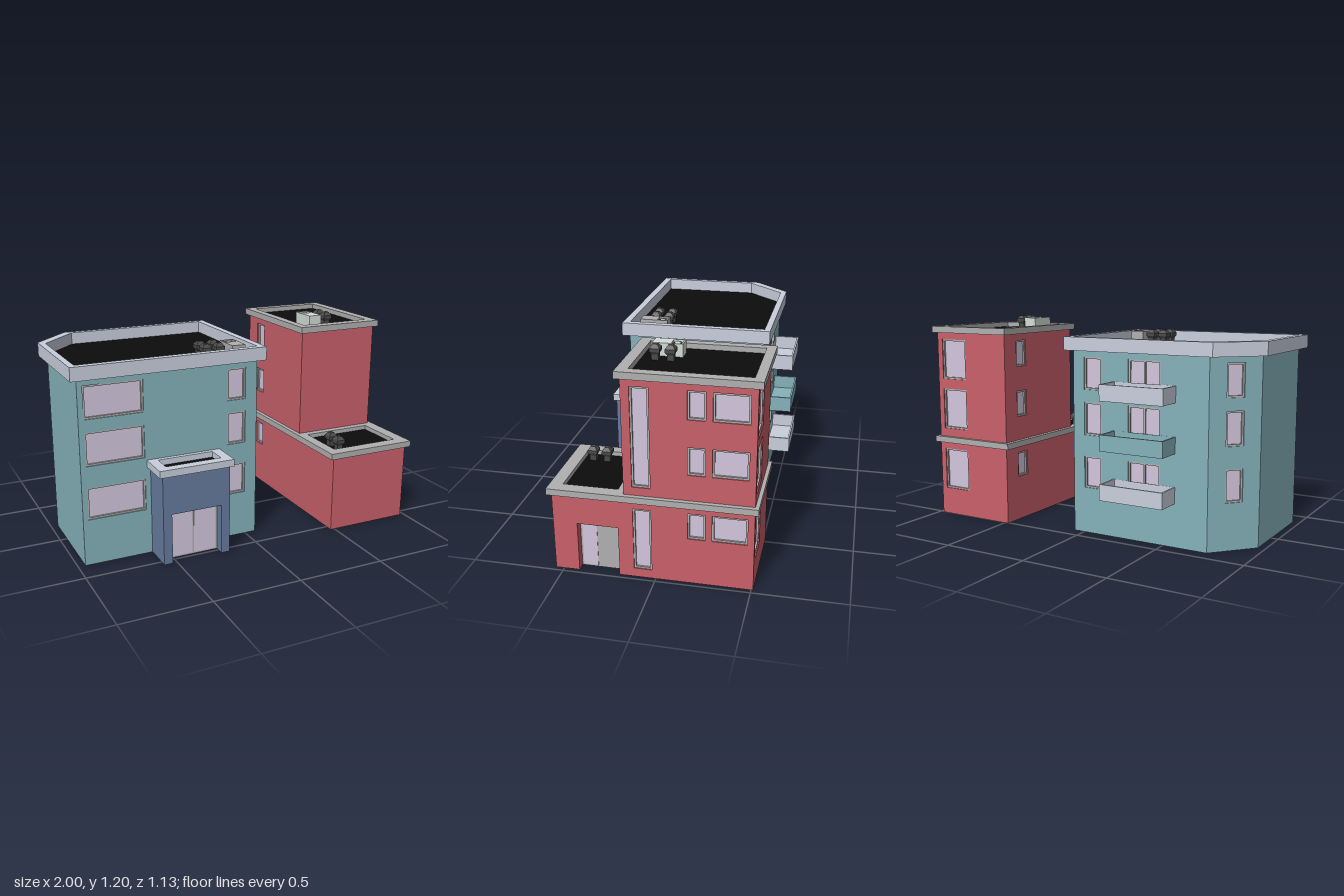
import * as THREE from 'three';

const mat = (color, side = THREE.FrontSide) =>
  new THREE.MeshStandardMaterial({ color, flatShading: true, side });
const TEAL = mat(0x85b2bb), RED = mat(0xc9606a), BLUE = mat(0x667c9e), TRIM = mat(0xc9cfdd);
const GREY = mat(0xb0b0b0), GLASS = mat(0xd4c7de), BLACK = mat(0x0c0c0c), VENT = mat(0x4a4a4a), PALE = mat(0xd3ddd6);
const T = 0.02; // depth of the window reveals

function add(parent, name, geometry, material) {
  const mesh = new THREE.Mesh(geometry, material);
  mesh.name = name;
  parent.add(mesh);
  return mesh;
}

// Box given by its limits
function box(parent, name, material, x0, x1, y0, y1, z0, z1) {
  const mesh = add(parent, name, new THREE.BoxGeometry(x1 - x0, y1 - y0, z1 - z0), material);
  mesh.position.set((x0 + x1) / 2, (y0 + y1) / 2, (z0 + z1) / 2);
  return mesh;
}

const rect = (a0, a1, b0, b1) => [[a0, b0], [a1, b0], [a1, b1], [a0, b1]];
const toPoints = (list) => list.map(([a, b]) => new THREE.Vector2(a, b));

function plate(outline, holes, depth) {
  const shape = new THREE.Shape(toPoints(outline));
  holes.forEach((h) => shape.holes.push(new THREE.Path(toPoints(h))));
  return new THREE.ExtrudeGeometry(shape, { depth, bevelEnabled: false });
}

// Floor plan in x, z raised from y0 to y1
function storey(parent, name, material, outline, holes, y0, y1) {
  const g = plate(outline, holes, y1 - y0);
  g.rotateX(Math.PI / 2).translate(0, y1, 0);
  return add(parent, name, g, material);
}

// Wall slab with recessed windows [u0, u1, y0, y1, panes] and an optional doorway
function facade(parent, name, material, x, z, angle, u0, u1, y0, y1, windows = [], { door, depth = T } = {}) {
  const g = new THREE.Group();
  g.name = name;
  g.position.set(x, 0, z);
  g.rotation.y = angle;
  parent.add(g);

  let outline = rect(u0, u1, y0, y1);
  if (door) {
    const [a, b, h] = door;
    outline = [[u0, y0], [a, y0], [a, h], [b, h], [b, y0], [u1, y0], [u1, y1], [u0, y1]];
  }
  const wall = plate(outline, windows.map((w) => rect(...w.slice(0, 4))), depth);
  add(g, 'wall', wall.translate(0, 0, -depth), material);

  for (const [a, b, c, d, panes = 1] of windows) {
    const f = 0.01, step = (b - a - f) / panes, openings = [];
    for (let i = 0; i < panes; i++)
      openings.push(rect(a + f + i * step, a + (i + 1) * step, c + f, d - f));
    add(g, 'windowFrame', plate(rect(a, b, c, d), openings, 0.014).translate(0, 0, -T), GREY);
    box(g, 'windowGlass', GLASS, a, b, c, d, -T - 0.002, -T + 0.004);
  }
  return g;
}

// Door leaf panel with glass panes, set at the back of a doorway
function doorway(g, [a, b, h], depth, panes) {
  box(g, 'doorPanel', GREY, a, b, 0, h, -depth, -depth + 0.01);
  for (const [p, q] of panes)
    box(g, 'doorGlass', GLASS, p, q, 0.01, h - 0.01, -depth - 0.002, -depth + 0.013);
}

// Square mushroom vent
function vent(parent, x, y, z) {
  const profile = [[0.018, 0], [0.018, 0.03], [0.027, 0.045], [0.027, 0.062], [0.0125, 0.082], [0, 0.082]]
    .map(([r, h]) => new THREE.Vector2(r * Math.SQRT2, h));
  add(parent, 'roofVent', new THREE.LatheGeometry(profile, 4, Math.PI / 4), VENT).position.set(x, y, z);
}

// Air handling unit with a square fan well at its back end
function airUnit(parent, material, x, y, z) {
  const g = new THREE.Group();
  g.name = 'airUnit';
  g.position.set(x, y, z);
  parent.add(g);
  storey(g, 'unitCasing', material, rect(-0.04, 0.04, -0.08, 0.08),
    [rect(-0.032, 0.032, -0.072, -0.018)], 0, 0.07);
  box(g, 'fanWell', BLACK, -0.034, 0.034, 0, 0.055, -0.074, -0.016);
  box(g, 'fanHub', material, -0.018, 0.018, 0.05, 0.065, -0.06, -0.03);
}

const ROWS = [[0.26, 0.44], [0.56, 0.745], [0.815, 0.995]];
const column = (u0, u1, rows, panes) => rows.map(([c, d]) => [u0, u1, c, d, panes]);

function tealBuilding() {
  const g = new THREE.Group();
  g.name = 'tealBuilding';
  const H = 1.03, PI = Math.PI;

  // Core and five walls, one across the cut corner
  storey(g, 'core', TEAL, [[-0.94, 0.345], [-0.94, -0.192], [-0.751, -0.4], [0.045, -0.4], [0.045, 0.345]], [], 0, H);
  facade(g, 'frontWall', TEAL, 0, 0.365, 0, -0.96, 0.065, 0, H,
    [...column(-0.93, -0.605, ROWS), ...column(-0.115, -0.005, ROWS)]);
  facade(g, 'rightWall', TEAL, 0.065, 0, PI / 2, -0.365, 0.42, 0, H);
  const doors = ROWS.map(([c, d]) => [c - 0.01, d]);
  facade(g, 'backWall', TEAL, 0, -0.42, PI, -0.065, 0.76, 0, H,
    [...column(0.005, 0.115, ROWS), ...column(0.285, 0.48, doors, 2)]);
  facade(g, 'leftWall', TEAL, -0.96, 0, -PI / 2, -0.2, 0.365, 0, H);
  facade(g, 'cornerWall', TEAL, -0.86, -0.31, Math.atan2(-0.22, -0.2), -0.1487, 0.1487, 0, H,
    column(-0.05, 0.05, ROWS));

  // Parapet and roof
  const inner = [[-0.965, 0.36], [-0.965, -0.2], [-0.755, -0.42], [0.065, -0.42], [0.065, 0.36]];
  storey(g, 'parapet', TRIM,
    [[-1, 0.4], [-1, -0.24], [-0.79, -0.455], [0.105, -0.455], [0.105, 0.4]], [inner], H, 1.105);
  storey(g, 'roof', BLACK, inner, [], H, H + 0.008);
  for (const x of [-0.195, -0.115]) for (const z of [0.17, 0.25]) vent(g, x, H + 0.008, z);
  airUnit(g, GREY, -0.02, H + 0.008, 0.232);

  // Balconies
  [0.24, 0.51, 0.78].forEach((y, i) => {
    const m = i === 1 ? TEAL : TRIM;
    storey(g, 'balconyRail', m, rect(-0.57, -0.19, -0.565, -0.42),
      [rect(-0.56, -0.2, -0.555, -0.421)], y, y + 0.09);
    box(g, 'balconyFloor', m, -0.565, -0.195, y, y + 0.012, -0.56, -0.42);
  });

  // Entrance porch, open underneath
  const door = [-0.525, -0.235, 0.285];
  const porch = facade(g, 'porchFront', BLUE, 0, 0.54, 0, -0.575, -0.185, 0, 0.505, [], { door, depth: 0.07 });
  doorway(porch, door, 0.07, [[-0.515, -0.385], [-0.375, -0.245]]);
  facade(g, 'porchRightSide', BLUE, -0.185, 0, PI / 2, -0.54, -0.365, 0, 0.505);
  facade(g, 'porchLeftSide', BLUE, -0.575, 0, -PI / 2, 0.365, 0.54, 0, 0.505);
  box(g, 'porchRoof', BLACK, -0.56, -0.2, 0.49, 0.512, 0.365, 0.52);
  storey(g, 'porchParapet', TRIM, rect(-0.595, -0.165, 0.36, 0.555),
    [rect(-0.54, -0.22, 0.39, 0.5)], 0.505, 0.545);
  return g;
}

function redBuilding() {
  const g = new THREE.Group();
  g.name = 'redBuilding';
  const H = 1.105, L = 0.445, PI = Math.PI;
  const small = [[0.26, 0.405], [0.62, 0.77], [0.915, 1.065]];
  const big = [[0.16, 0.405], [0.53, 0.77], [0.83, 1.065]];

  // Three storey tower
  box(g, 'towerCore', RED, 0.495, 0.955, 0, H, -0.49, 0.14);
  facade(g, 'towerFront', RED, 0, 0.16, 0, 0.475, 0.975, 0, H);
  facade(g, 'towerRight', RED, 0.975, 0, PI / 2, -0.16, 0.51, 0, H,
    [...column(-0.115, -0.02, [[0.05, 0.4], [0.525, 1.065]]),
      ...column(0.17, 0.26, small), ...column(0.295, 0.475, small)]);
  facade(g, 'towerBack', RED, 0, -0.51, PI, -0.975, -0.475, 0, H, column(-0.94, -0.765, big));
  facade(g, 'towerLeft', RED, 0.475, 0, -PI / 2, -0.51, 0.16, 0, H, column(-0.4, -0.31, small));

  // Low front wing, open underneath
  const door = [-0.415, -0.195, 0.28];
  const side = facade(g, 'wingRight', RED, 0.975, 0, PI / 2, -0.545, -0.16, 0, L, [], { door, depth: 0.06 });
  doorway(side, door, 0.06, [[-0.405, -0.325]]);
  facade(g, 'wingFront', RED, 0, 0.545, 0, 0.475, 0.975, 0, L);
  facade(g, 'wingLeft', RED, 0.475, 0, -PI / 2, 0.16, 0.545, 0, L);

  // Cornice bands and roofs
  storey(g, 'lowerBand', GREY, rect(0.45, 1, -0.53, 0.565), [rect(0.51, 0.93, 0.2, 0.495)], L, L + 0.035);
  box(g, 'wingRoof', BLACK, 0.49, 0.96, L - 0.015, L + 0.01, 0.16, 0.53);
  storey(g, 'upperBand', GREY, rect(0.455, 0.995, -0.535, 0.185), [rect(0.505, 0.94, -0.485, 0.125)], H, H + 0.037);
  box(g, 'towerRoof', BLACK, 0.5, 0.945, H - 0.01, H + 0.008, -0.49, 0.13);

  // Roof equipment
  for (const z of [-0.03, 0.05]) vent(g, 0.7, H + 0.008, z);
  for (const z of [0.365, 0.445]) vent(g, 0.57, L + 0.01, z);
  airUnit(g, PALE, 0.61, H + 0.008, 0);
  return g;
}

export function createModel() {
  const model = new THREE.Group();
  model.name = 'buildings';
  model.add(tealBuilding(), redBuilding());
  return model;
}
